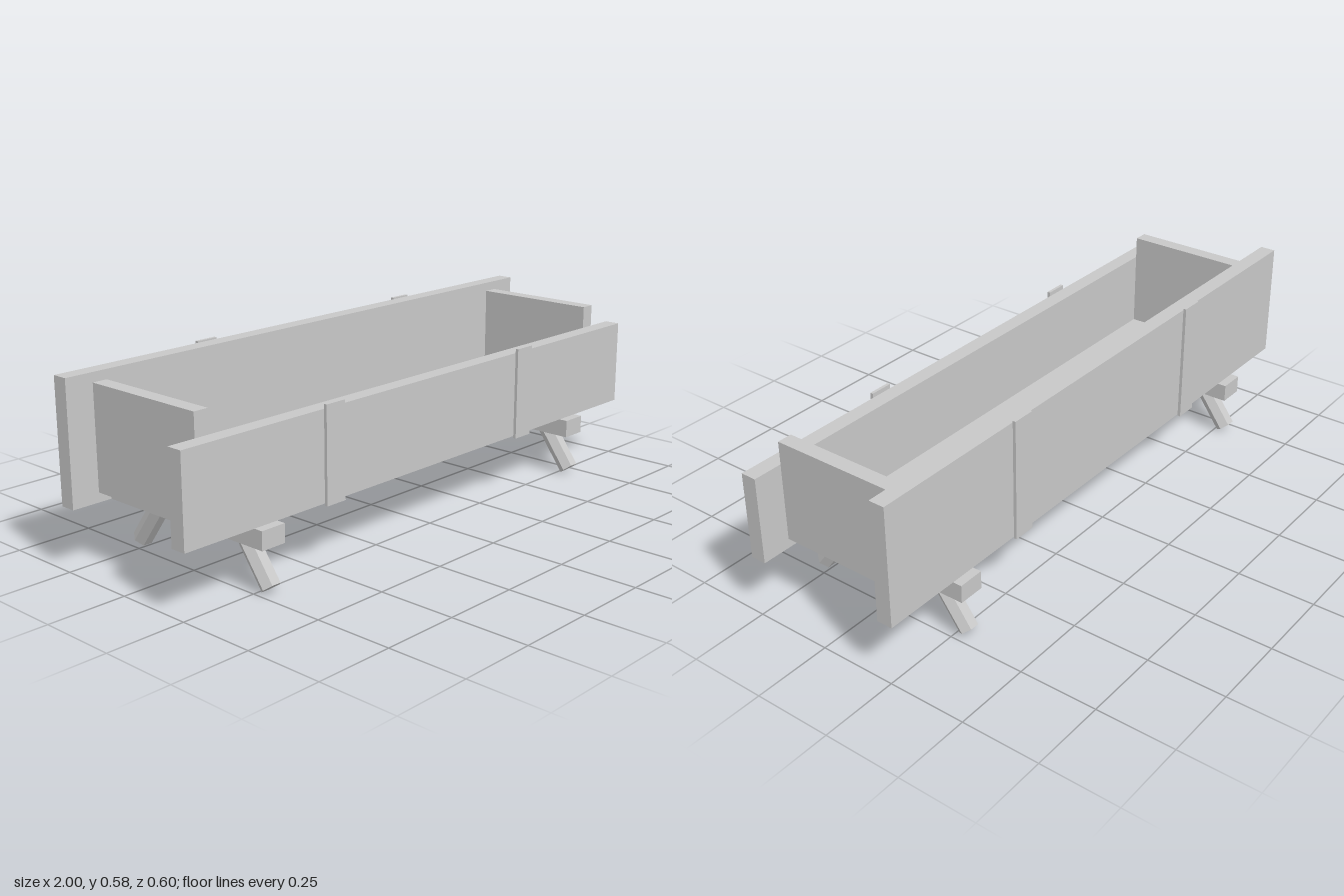
import * as THREE from 'three';

export function createModel() {
  const model = new THREE.Group();
  model.name = 'planterTrough';
  const grey = new THREE.MeshStandardMaterial({ color: 0xc8c8c8, flatShading: true });
  grey.name = 'plain grey';

  // Box given by its minimum and maximum on each axis
  function box(name, [x0, x1], [y0, y1], [z0, z1]) {
    const mesh = new THREE.Mesh(new THREE.BoxGeometry(x1 - x0, y1 - y0, z1 - z0), grey);
    mesh.position.set((x0 + x1) / 2, (y0 + y1) / 2, (z0 + z1) / 2);
    mesh.name = name;
    model.add(mesh);
  }

  // Long side boards, the back one taller
  box('frontBoard', [-1, 1], [0.2, 0.48], [0.214, 0.265]);
  box('backBoard', [-1, 1], [0.2, 0.583], [-0.265, -0.214]);

  // Floor, with the end boards standing on it
  box('floor', [-0.867, 0.862], [0.2, 0.23], [-0.214, 0.214]);
  box('rightEndBoard', [-0.909, -0.861], [0.23, 0.553], [-0.214, 0.214]);
  box('leftEndBoard', [0.856, 0.904], [0.23, 0.553], [-0.214, 0.214]);

  // Thin upright battens on the outside of both long boards
  for (const x of [-0.444, 0.439]) {
    const width = [x - 0.0375, x + 0.0375];
    box('frontBatten', width, [0.193, 0.494], [0.265, 0.275]);
    box('backBatten', width, [0.195, 0.588], [-0.275, -0.265]);
  }

  // Crossbars under the floor, each with two splayed six-sided legs
  const tilt = 0.634;
  const length = 0.187;
  const radius = 0.031;
  for (const x of [-0.711, 0.706]) {
    box('crossbar', [x - 0.043, x + 0.043], [0.142, 0.2], [-0.294, 0.294]);
    for (const side of [1, -1]) {
      const geometry = new THREE.CylinderGeometry(radius, radius, length, 6);
      geometry.rotateY(Math.PI / 2); // one corner edge faces sideways
      const leg = new THREE.Mesh(geometry, grey);
      leg.name = side > 0 ? 'frontLeg' : 'backLeg';
      leg.rotation.x = -side * tilt;
      leg.position.set(
        x,
        0.019 + Math.cos(tilt) * length / 2,
        side * (0.28 - Math.sin(tilt) * length / 2)
      );
      model.add(leg);
    }
  }
  return model;
}
